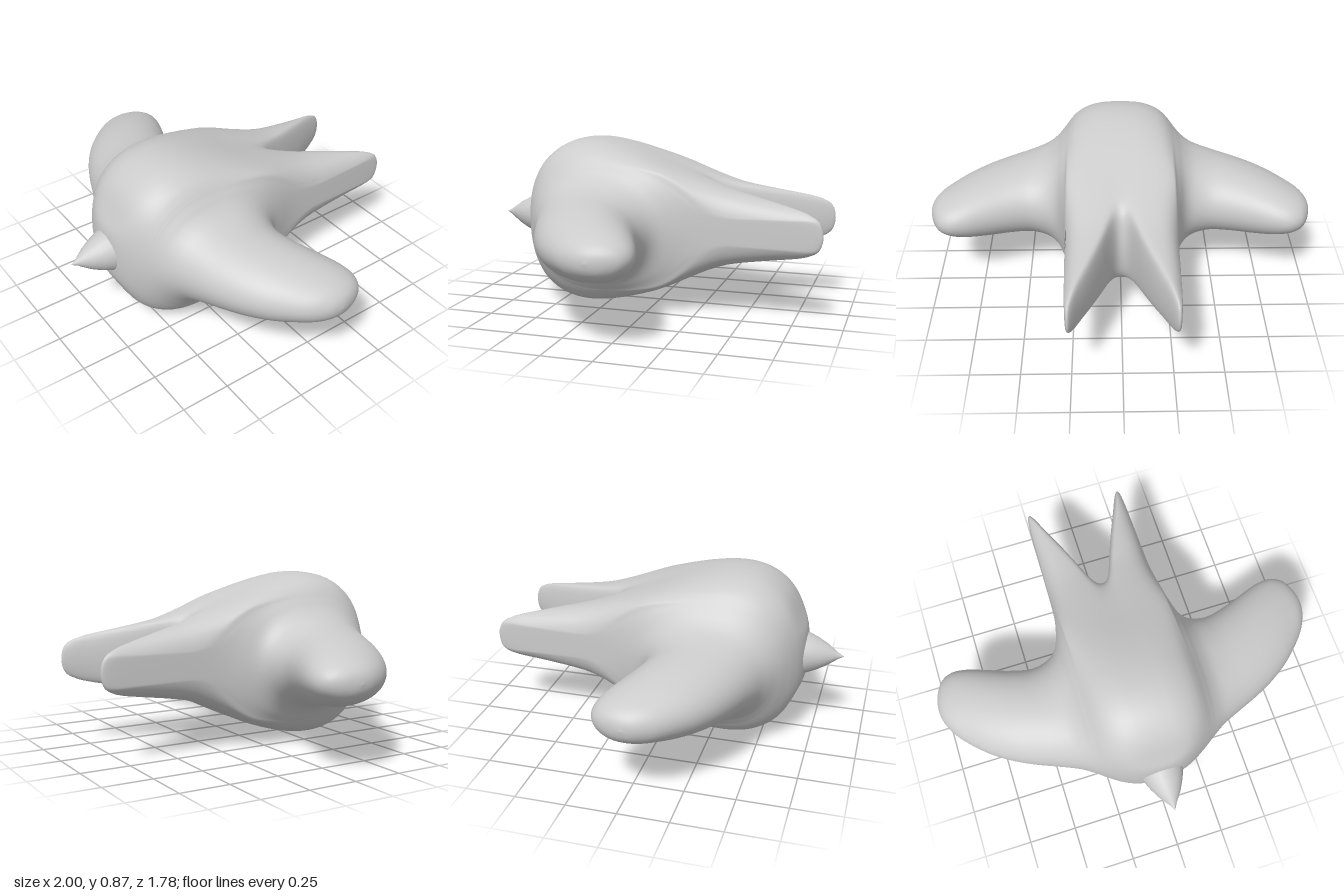
import * as THREE from 'three';

const { smoothstep, clamp, lerp } = THREE.MathUtils;
const MID = 0.4375; // height of the horizontal symmetry plane

// Stations from the middle to the wing tip:
// x, front z, back z, z of the thickest line, half height
const HALF = [
  [0, 0.705, -0.35, 0.22, 0.57],
  [0.03, 0.704, -0.365, 0.22, 0.568],
  [0.06, 0.702, -0.42, 0.22, 0.56],
  [0.1, 0.695, -0.53, 0.22, 0.544],
  [0.15, 0.68, -0.66, 0.22, 0.507],
  [0.2, 0.657, -0.78, 0.22, 0.459],
  [0.235, 0.637, -0.865, 0.22, 0.417],
  [0.255, 0.625, -0.89, 0.22, 0.387],
  [0.268, 0.617, -0.845, 0.22, 0.366],
  [0.275, 0.612, -0.62, 0.22, 0.354],
  [0.28, 0.609, -0.4, 0.22, 0.346],
  [0.287, 0.604, -0.28, 0.22, 0.334],
  [0.303, 0.593, -0.19, 0.22, 0.311],
  [0.335, 0.572, -0.1, 0.222, 0.27],
  [0.39, 0.539, -0.052, 0.227, 0.229],
  [0.48, 0.5, -0.035, 0.225, 0.201],
  [0.59, 0.455, -0.06, 0.19, 0.182],
  [0.7, 0.4, -0.1, 0.14, 0.163],
  [0.8, 0.333, -0.135, 0.09, 0.14],
  [0.88, 0.26, -0.145, 0.05, 0.115],
  [0.94, 0.192, -0.12, 0.035, 0.09],
  [0.975, 0.132, -0.07, 0.03, 0.063],
  [0.993, 0.083, -0.015, 0.03, 0.034],
  [1, 0.03, 0.03, 0.03, 0],
];
const STATIONS = [...HALF.slice(1).reverse().map(([x, ...rest]) => [-x, ...rest]), ...HALF];

// Half height of the side profile, every 0.1 from z = -0.9 to z = 0.7
const PROFILE = [0.12, 0.14, 0.148, 0.16, 0.175, 0.195, 0.23, 0.272, 0.316, 0.36,
  0.4, 0.435, 0.458, 0.458, 0.425, 0.337, 0.15];

// Catmull-Rom interpolation through evenly numbered values
function spline(get, count, p) {
  const i = clamp(Math.floor(p), 0, count - 2);
  const t = clamp(p - i, 0, 1);
  const at = (k) => get(clamp(k, 0, count - 1));
  const a = at(i - 1), b = at(i), c = at(i + 1), d = at(i + 2);
  return b + 0.5 * t * (c - a + t * (2 * a - 5 * b + 4 * c - d + t * (3 * (b - c) + d - a)));
}

// Side profile, rounded off towards the outer faces of the tail
function profileHeight(x, z) {
  const rounding = Math.sqrt(Math.max(0.02, 1 - (Math.abs(x) / 0.285) ** 6));
  return spline((k) => PROFILE[k], PROFILE.length, (z + 0.9) / 0.1)
    * lerp(1, rounding, smoothstep(-z, 0.05, 0.45));
}

// Body, wings and forked tail as one smooth skin of closed sections along x
function bodyGeometry() {
  const STEPS = 4, AROUND = 96;
  const rows = (STATIONS.length - 1) * STEPS;
  const positions = [], index = [];
  for (let i = 0; i <= rows; i++) {
    const [x, front, back, mid, height] = HALF[0].map((_, c) =>
      spline((k) => STATIONS[k][c], STATIONS.length, i / STEPS));
    // the breast is blunter than the wing edges
    const frontPower = 3.2 - 1.1 * smoothstep(Math.abs(x), 0.05, 0.6);
    for (let j = 0; j < AROUND; j++) {
      const angle = (j / AROUND) * Math.PI * 2;
      const u = Math.cos(angle);
      const z = mid + (u > 0 ? front - mid : mid - back) * u;
      const end = Math.sqrt(Math.max(0, 1 - Math.abs(u) ** (u > 0 ? frontPower : 2.1)));
      // soft minimum of the side profile and the section's own rounding
      const b = Math.max(height * end, 1e-5);
      const h = b / (1 + (b / profileHeight(x, z)) ** 5) ** 0.2;
      const lift = 0.018 * smoothstep(-z, 0, 0.4);
      positions.push(x, MID + lift + Math.sign(Math.sin(angle)) * h, z);
      if (i < rows) {
        const n = (j + 1) % AROUND;
        const p = i * AROUND, q = p + AROUND;
        index.push(p + j, q + j, p + n, q + j, q + n, p + n);
      }
    }
  }
  const geometry = new THREE.BufferGeometry();
  geometry.setAttribute('position', new THREE.Float32BufferAttribute(positions, 3));
  geometry.setIndex(index);
  geometry.computeVertexNormals();
  return geometry;
}

// Pointed beak turned around the z axis, its open base sunk into the breast
function beakGeometry() {
  const outline = [[0.112, 0.67], [0.104, 0.705], [0.085, 0.75], [0.058, 0.8], [0.026, 0.845], [0.018, 0.855], [0, 0.888]];
  const geometry = new THREE.LatheGeometry(outline.map(([r, z]) => new THREE.Vector2(r, z)), 24);
  return geometry.rotateX(Math.PI / 2).translate(0, MID, 0);
}

export function createModel() {
  const model = new THREE.Group();
  model.name = 'bird';
  const material = new THREE.MeshStandardMaterial({ color: 0xcccccc });
  const add = (name, geometry) => {
    const mesh = new THREE.Mesh(geometry, material);
    mesh.name = name;
    model.add(mesh);
  };
  add('bodyWithWingsAndTail', bodyGeometry());
  add('beak', beakGeometry());
  return model;
}
